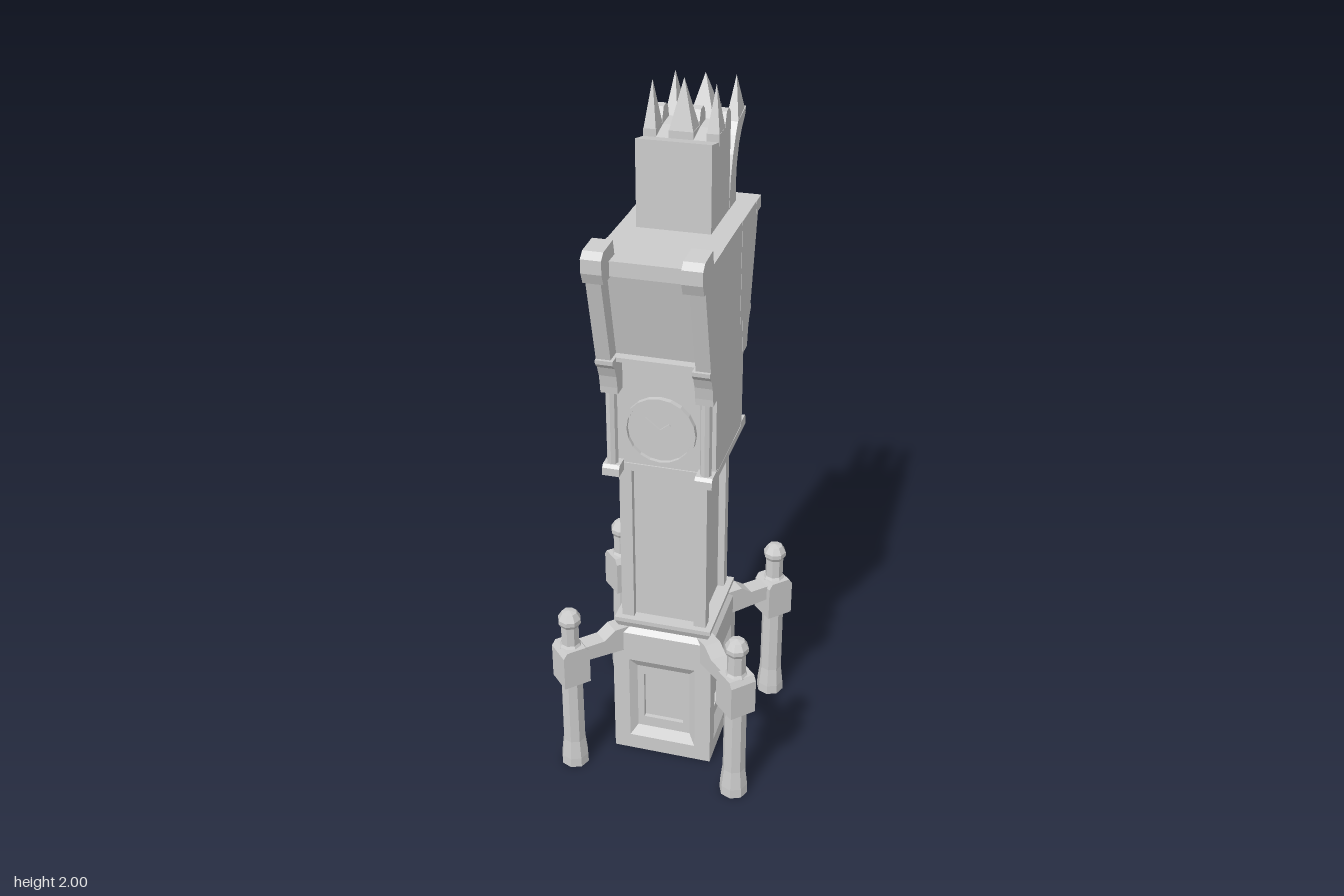
import * as THREE from 'three';

const mat = new THREE.MeshStandardMaterial({ color: 0xcccccc, flatShading: true, side: THREE.DoubleSide });
const CZ = 0.025; // z of the shaft axis

function add(parent, name, geo) {
  const m = new THREE.Mesh(geo, mat);
  m.name = name;
  parent.add(m);
  return m;
}

function box(parent, name, x0, x1, y0, y1, z0, z1) {
  const g = new THREE.BoxGeometry(x1 - x0, y1 - y0, z1 - z0);
  g.translate((x0 + x1) / 2, (y0 + y1) / 2, (z0 + z1) / 2);
  return add(parent, name, g);
}

// Side outline of [z, y] points, extruded from x0 to x1
function slab(parent, name, x0, x1, pts) {
  const shape = new THREE.Shape(pts.map(p => new THREE.Vector2(p[0], p[1])));
  const g = new THREE.ExtrudeGeometry(shape, { depth: x1 - x0, bevelEnabled: false });
  g.rotateY(-Math.PI / 2).translate(x1, 0, 0);
  return add(parent, name, g);
}

// Nested rectangles [halfWidth, y0, y1, depth] joined into a stepped panel facing +z
function steppedPanel(rings) {
  const pos = [], idx = [];
  for (const [w, a, b, d] of rings) pos.push(-w, a, d, w, a, d, w, b, d, -w, b, d);
  for (let r = 0; r < rings.length - 1; r++)
    for (let i = 0; i < 4; i++) {
      const j = (i + 1) % 4, o = r * 4, n = o + 4;
      idx.push(o + i, o + j, n + j, o + i, n + j, n + i);
    }
  const e = (rings.length - 1) * 4;
  idx.push(e, e + 1, e + 2, e, e + 2, e + 3);
  const g = new THREE.BufferGeometry();
  g.setAttribute('position', new THREE.Float32BufferAttribute(pos, 3));
  g.setIndex(idx);
  const flat = g.toNonIndexed();
  flat.computeVertexNormals();
  return flat;
}

// Square frustum on the shaft axis
function frustum(parent, name, h0, h1, y0, y1) {
  const g = new THREE.CylinderGeometry(h1 * Math.SQRT2, h0 * Math.SQRT2, y1 - y0, 4);
  g.rotateY(Math.PI / 4).translate(0, (y0 + y1) / 2, CZ);
  return add(parent, name, g);
}

function buildBase(root) {
  const base = new THREE.Group();
  base.name = 'base';
  root.add(base);
  const panel = steppedPanel([
    [0.148, 0, 0.43, 0.148], [0.1, 0.05, 0.335, 0.148], [0.08, 0.08, 0.305, 0.13],
    [0.06, 0.115, 0.275, 0.13], [0.06, 0.115, 0.275, 0.117]]);
  for (let i = 0; i < 4; i++) {
    const p = add(base, 'basePanel', panel);
    p.position.z = CZ;
    p.rotation.y = i * Math.PI / 2;
  }
  box(base, 'baseBottom', -0.148, 0.148, 0, 0.006, CZ - 0.148, CZ + 0.148);
  frustum(base, 'baseShoulder', 0.148, 0.134, 0.43, 0.445);
  frustum(base, 'baseCornice', 0.134, 0.143, 0.445, 0.465);
  frustum(base, 'baseCorniceTop', 0.143, 0.143, 0.465, 0.478);
}

// Diagonal corner posts with collars and arms
function buildPosts(root) {
  const profile = [[0, 0], [0.042, 0], [0.041, 0.03], [0.034, 0.09], [0.033, 0.31], [0.033, 0.43],
    [0.027, 0.44], [0.027, 0.5], [0.034, 0.512], [0.034, 0.525], [0.022, 0.545], [0, 0.55]];
  const postGeo = new THREE.LatheGeometry(profile.map(p => new THREE.Vector2(p[0], p[1])), 8);
  for (let i = 0; i < 4; i++) {
    const g = new THREE.Group();
    g.name = 'cornerPost';
    g.position.z = CZ - 0.003;
    g.rotation.y = Math.PI / 4 + i * Math.PI / 2;
    root.add(g);
    const d = 0.245 * Math.SQRT2;
    add(g, 'post', postGeo).position.z = d;
    // collar with a chamfered top
    slab(g, 'collar', -0.04, 0.04, [[d - 0.041, 0.308], [d + 0.041, 0.308], [d + 0.041, 0.415],
      [d + 0.03, 0.432], [d - 0.03, 0.432], [d - 0.041, 0.415]]);
    slab(g, 'arm', -0.025, 0.025, [[0.16, 0.365], [d, 0.375], [d, 0.42], [0.25, 0.42], [0.215, 0.445], [0.16, 0.445]]);
  }
}

function buildShaft(root) {
  const h = 0.125;
  box(root, 'shaftCore', -0.105, 0.105, 0.47, 0.99, CZ - 0.105, CZ + 0.105);
  for (const sx of [-1, 1]) for (const sz of [-1, 1]) {
    const m = box(root, 'shaftCorner', -0.018, 0.018, 0.47, 0.99, -0.018, 0.018);
    m.position.set(sx * (h - 0.018), 0, CZ + sz * (h - 0.018));
  }
}

// Round dial, ring and two hands
function buildClock(root, z, turn) {
  const g = new THREE.Group();
  g.name = 'clock';
  g.position.set(0, 1.118, z);
  g.rotation.y = turn;
  root.add(g);
  add(g, 'dial', new THREE.CylinderGeometry(0.092, 0.092, 0.008, 20).rotateX(Math.PI / 2));
  const ring = new THREE.Shape().absarc(0, 0, 0.1, 0, Math.PI * 2);
  ring.holes.push(new THREE.Path().absarc(0, 0, 0.091, 0, Math.PI * 2));
  add(g, 'dialRing', new THREE.ExtrudeGeometry(ring, { depth: 0.016, bevelEnabled: false, curveSegments: 10 }));
  for (const [len, ang] of [[0.055, 0.9], [0.035, -0.9]]) {
    const hand = add(g, 'hand', new THREE.BoxGeometry(0.007, len, 0.006).translate(0, len / 2, 0.006));
    hand.rotation.z = ang;
  }
}

function buildHead(root) {
  const head = new THREE.Group();
  head.name = 'head';
  root.add(head);
  box(head, 'headFloor', -0.153, 0.153, 0.98, 1.003, -0.135, 0.168);
  // solid core: upright clock walls, ledge, flared panels and a top lip
  slab(head, 'headCore', -0.152, 0.152, [[-0.13, 0.99], [0.164, 0.99], [0.164, 1.325], [0.215, 1.33], [0.215, 1.342],
    [0.188, 1.342], [0.245, 1.585], [0.267, 1.59], [0.267, 1.63], [-0.293, 1.63], [-0.293, 1.598], [-0.22, 1.585],
    [-0.158, 1.342], [-0.185, 1.342], [-0.185, 1.33], [-0.13, 1.325]]);
  buildClock(head, 0.166, 0);
  buildClock(head, -0.132, Math.PI);

  for (const s of [-1, 1]) {
    const span = (a, b) => s > 0 ? [a, b] : [-b, -a];
    for (const f of [1, -1]) {
      const z = d => 0.0175 + f * d; // distance from the head centre
      const piece = (name, a, b, pts) => slab(head, name, ...span(a, b), pts.map(p => [z(p[0]), p[1]]));
      piece('columnFoot', 0.105, 0.153, [[0.13, 0.98], [0.193, 0.98], [0.193, 1.003], [0.185, 1.012], [0.13, 1.012]]);
      const col = add(head, 'column', new THREE.CylinderGeometry(0.016, 0.016, 0.23, 8));
      col.position.set(s * 0.13, 1.12, z(0.168));
      piece('columnBracket', 0.105, 0.153, [[0.13, 1.23], [0.188, 1.23], [0.19, 1.25], [0.197, 1.285], [0.21, 1.315],
        [0.225, 1.33], [0.226, 1.342], [0.13, 1.342]]);
      // raised flange beside the flared panel
      piece('flange', 0.113, 0.153, [[0.1, 1.335], [0.215, 1.335], [0.29, 1.63], [0.1, 1.63]]);
    }
    slab(head, 'frontFinial', ...span(0.1, 0.154), [[0.22, 1.585], [0.312, 1.585], [0.325, 1.615],
      [0.325, 1.652], [0.306, 1.668], [0.232, 1.672], [0.222, 1.63]]);
    slab(head, 'backFinial', ...span(0.1, 0.154), [[-0.24, 1.595], [-0.293, 1.595], [-0.293, 1.63], [-0.24, 1.63]]);
  }
}

// Four-sided spike with a rectangular foot
function spike(parent, x, w, y, h, z, d) {
  const g = new THREE.ConeGeometry(Math.SQRT1_2, 1, 4).rotateY(Math.PI / 4);
  g.scale(w, h, d).translate(x, y + h / 2, z);
  return add(parent, 'spike', g);
}

function buildCrown(root) {
  const crown = new THREE.Group();
  crown.name = 'crown';
  root.add(crown);
  slab(crown, 'crownBlock', -0.103, 0.097, [[0.03, 1.62], [0.03, 1.865], [-0.04, 1.85], [-0.105, 1.865],
    [-0.16, 1.87], [-0.16, 1.62]]);
  for (const [x, w] of [[-0.086, 0.034], [-0.003, 0.066], [0.081, 0.034]]) {
    const a = x - w / 2, b = x + w / 2;
    box(crown, 'spikeFoot', a, b, 1.84, 1.87, -0.105, -0.04);
    spike(crown, x, w, 1.865, w > 0.05 ? 0.135 : 0.125, -0.072, 0.062);
    // rounded lump behind the front spike
    slab(crown, 'roundedCrest', a, b, [[-0.1, 1.85], [-0.1, 1.88], [-0.113, 1.908], [-0.135, 1.912],
      [-0.153, 1.9], [-0.16, 1.875], [-0.16, 1.85]]);
    // arm sweeping up and back
    slab(crown, 'sweptArm', a, b, [[-0.155, 1.62], [-0.232, 1.62], [-0.228, 1.68], [-0.234, 1.73], [-0.255, 1.78],
      [-0.285, 1.815], [-0.318, 1.838], [-0.328, 1.862], [-0.238, 1.845], [-0.215, 1.815],
      [-0.19, 1.77], [-0.172, 1.72], [-0.16, 1.66]]);
    spike(crown, x, w, 1.845, 0.112, -0.284, 0.085);
  }
}

export function createModel() {
  const root = new THREE.Group();
  root.name = 'clockTower';
  buildBase(root);
  buildPosts(root);
  buildShaft(root);
  buildHead(root);
  buildCrown(root);
  return root;
}
